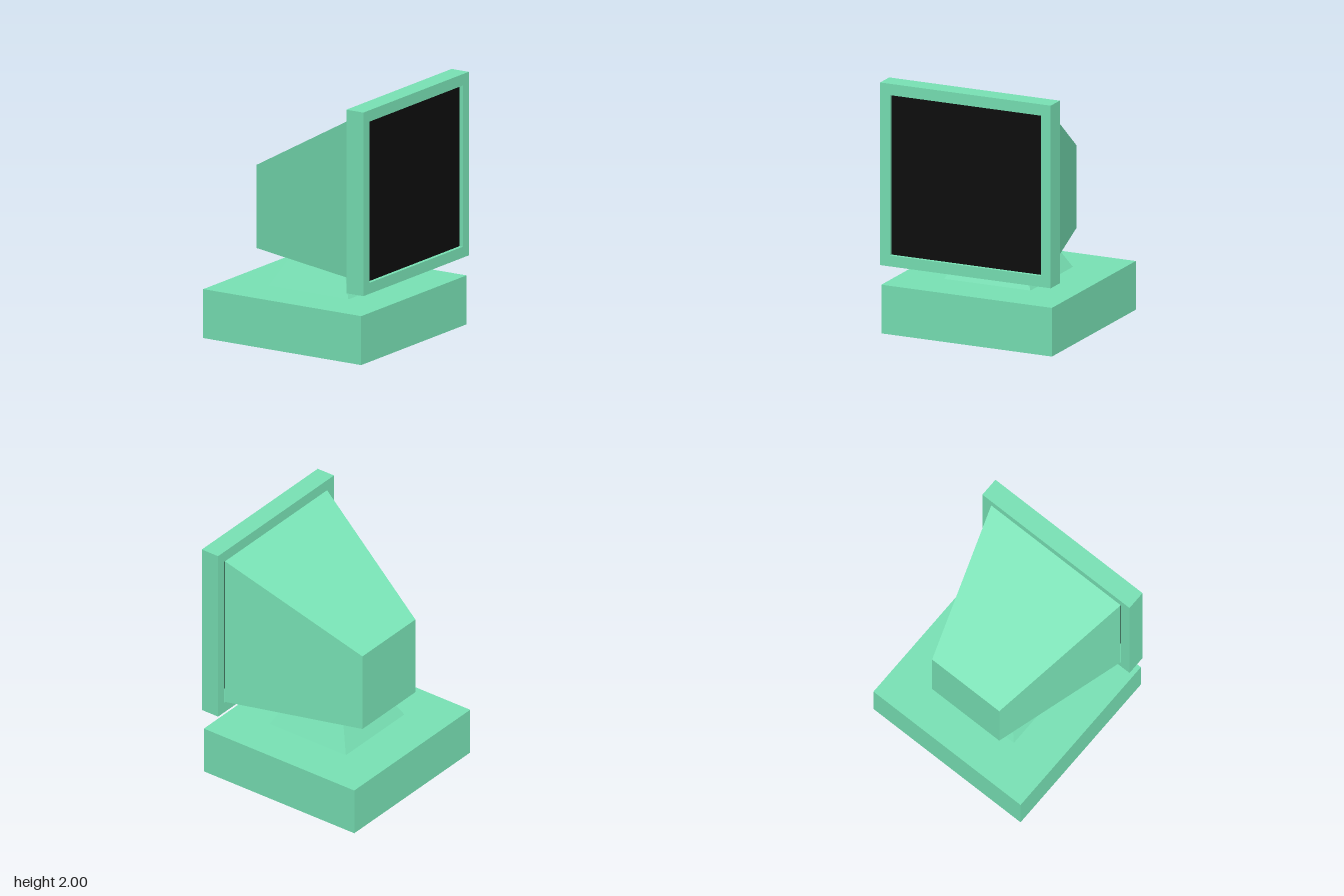
import * as THREE from 'three';

const green = new THREE.MeshStandardMaterial({ color: 0x78e2b5 });
green.name = 'mintGreen';
const black = new THREE.MeshStandardMaterial({ color: 0x0d0d0d });
black.name = 'screenBlack';

// Box given by its lower and upper bounds on each axis
function block(x0, x1, y0, y1, z0, z1) {
  return new THREE.BoxGeometry(x1 - x0, y1 - y0, z1 - z0)
    .translate((x0 + x1) / 2, (y0 + y1) / 2, (z0 + z1) / 2);
}

// Unit box whose corners are moved by a rule
function shapedBox(rule) {
  const geo = new THREE.BoxGeometry(1, 1, 1);
  const pos = geo.attributes.position;
  for (let i = 0; i < pos.count; i++) {
    pos.setXYZ(i, ...rule(pos.getX(i) > 0, pos.getY(i) > 0, pos.getZ(i) > 0 ? 1 : -1, pos.getX(i) > 0 ? 1 : -1));
  }
  geo.computeVertexNormals();
  return geo;
}

export function createModel() {
  const model = new THREE.Group();
  model.name = 'desktopComputer';
  const add = (name, geometry, material) => {
    const mesh = new THREE.Mesh(geometry, material);
    mesh.name = name;
    model.add(mesh);
  };

  // Flat case under the monitor
  add('baseCase', block(-0.735, 0.715, 0, 0.387, -0.727, 0.727), green);

  // Stand narrowing upwards into the monitor
  add('stand', shapedBox((right, top, sz, sx) => {
    const half = top ? 0.215 : 0.367;
    return [-0.01 + sx * half, top ? 0.67 : 0.387, sz * half];
  }), green);

  // Monitor housing widening towards the screen
  add('monitorHousing', shapedBox((front, top, sz) => front
    ? [0.578, top ? 1.91 : 0.638, sz * 0.64]
    : [-0.51, top ? 1.315 : 0.658, sz * 0.332]), green);

  // Bezel with a square opening, turned to face +x
  const bezel = new THREE.Shape([
    [-0.727, 0.548], [0.727, 0.548], [0.727, 2], [-0.727, 2],
  ].map(([x, y]) => new THREE.Vector2(x, y)));
  bezel.holes.push(new THREE.Path([
    [-0.645, 0.635], [-0.645, 1.91], [0.645, 1.91], [0.645, 0.635],
  ].map(([x, y]) => new THREE.Vector2(x, y))));
  const bezelGeo = new THREE.ExtrudeGeometry(bezel, { depth: 0.157, bevelEnabled: false })
    .rotateY(Math.PI / 2).translate(0.578, 0, 0);
  add('bezel', bezelGeo, green);

  // Slightly recessed screen
  add('screen', block(0.697, 0.705, 0.635, 1.91, -0.645, 0.645), black);

  return model;
}
